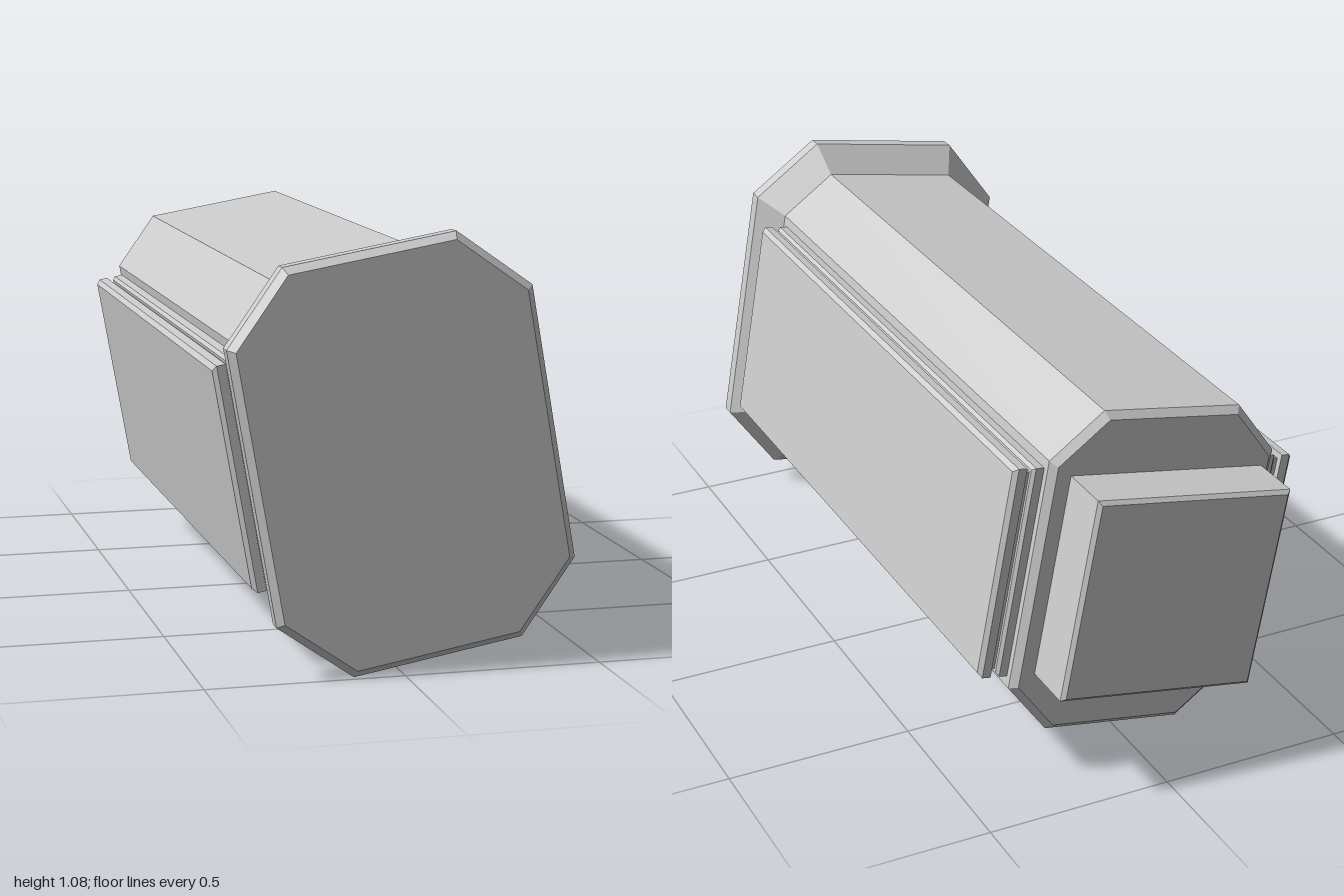
import * as THREE from 'three';

const material = new THREE.MeshStandardMaterial({ color: 0xcccccc, flatShading: true });

// Rectangle of half sizes w, h with corners cut by c, counter-clockwise
function outline(w, h, c) {
  if (c === 0) return [[w, -h], [w, h], [-w, h], [-w, -h]];
  return [
    [w, -h + c], [w, h - c], [w - c, h], [-w + c, h],
    [-w, h - c], [-w, -h + c], [-w + c, -h], [w - c, -h],
  ];
}

// Closed solid through sections [z, halfWidth, halfHeight, cornerCut], z increasing
function loft(name, sections) {
  const rings = sections.map(([z, w, h, c]) =>
    outline(w, h, c).map(([x, y]) => [x, y, z]));
  const n = rings[0].length;
  const last = rings[rings.length - 1];
  const pos = [];
  const tri = (a, b, c) => pos.push(...a, ...b, ...c);
  for (let k = 0; k < rings.length - 1; k++) {
    for (let i = 0; i < n; i++) {
      const j = (i + 1) % n;
      tri(rings[k][i], rings[k][j], rings[k + 1][j]);
      tri(rings[k][i], rings[k + 1][j], rings[k + 1][i]);
    }
  }
  for (let i = 1; i < n - 1; i++) {
    tri(rings[0][0], rings[0][i + 1], rings[0][i]);
    tri(last[0], last[i], last[i + 1]);
  }
  const geometry = new THREE.BufferGeometry();
  geometry.setAttribute('position', new THREE.Float32BufferAttribute(pos, 3));
  geometry.computeVertexNormals();
  const mesh = new THREE.Mesh(geometry, material);
  mesh.name = name;
  return mesh;
}

export function createModel() {
  const model = new THREE.Group();
  model.name = 'taperedHousing';

  // The whole housing leans ten degrees about its long axis
  const housing = new THREE.Group();
  housing.name = 'housing';
  housing.position.y = 0.543;
  housing.rotation.z = THREE.MathUtils.degToRad(10);
  model.add(housing);

  // Eight-sided barrel, bevelled at the back
  housing.add(loft('barrel', [
    [-0.85, 0.302, 0.423, 0.12],
    [-0.832, 0.32, 0.441, 0.128],
    [0.875, 0.32, 0.441, 0.128],
  ]));

  // Flared front cap with a bevelled rim
  housing.add(loft('frontCap', [
    [0.875, 0.32, 0.441, 0.128],
    [0.945, 0.383, 0.511, 0.166],
    [0.982, 0.383, 0.511, 0.166],
    [1.0, 0.365, 0.493, 0.156],
  ]));

  // Square block at the back
  const block = loft('rearBlock', [
    [-1.0, 0.263, 0.263, 0],
    [-0.99, 0.273, 0.273, 0],
    [-0.84, 0.273, 0.273, 0],
  ]);
  block.position.set(-0.01, 0.006, 0);
  housing.add(block);

  // Side panels: inner plate, groove, then bevelled outer plate
  const halfLength = 0.833, halfHeight = 0.287;
  const steps = [
    [0.31, 0], [0.342, 0], [0.35, 0.008], [0.35, 0.016],
    [0.366, 0.016], [0.366, 0], [0.389, 0], [0.4, 0.011],
  ];
  for (const side of [1, -1]) {
    const panel = loft(side > 0 ? 'leftPanel' : 'rightPanel',
      steps.map(([d, inset]) => [d, halfLength - inset, halfHeight - inset, 0]));
    panel.rotation.y = side * Math.PI / 2;
    panel.position.z = 0.018;
    housing.add(panel);
  }

  return model;
}
